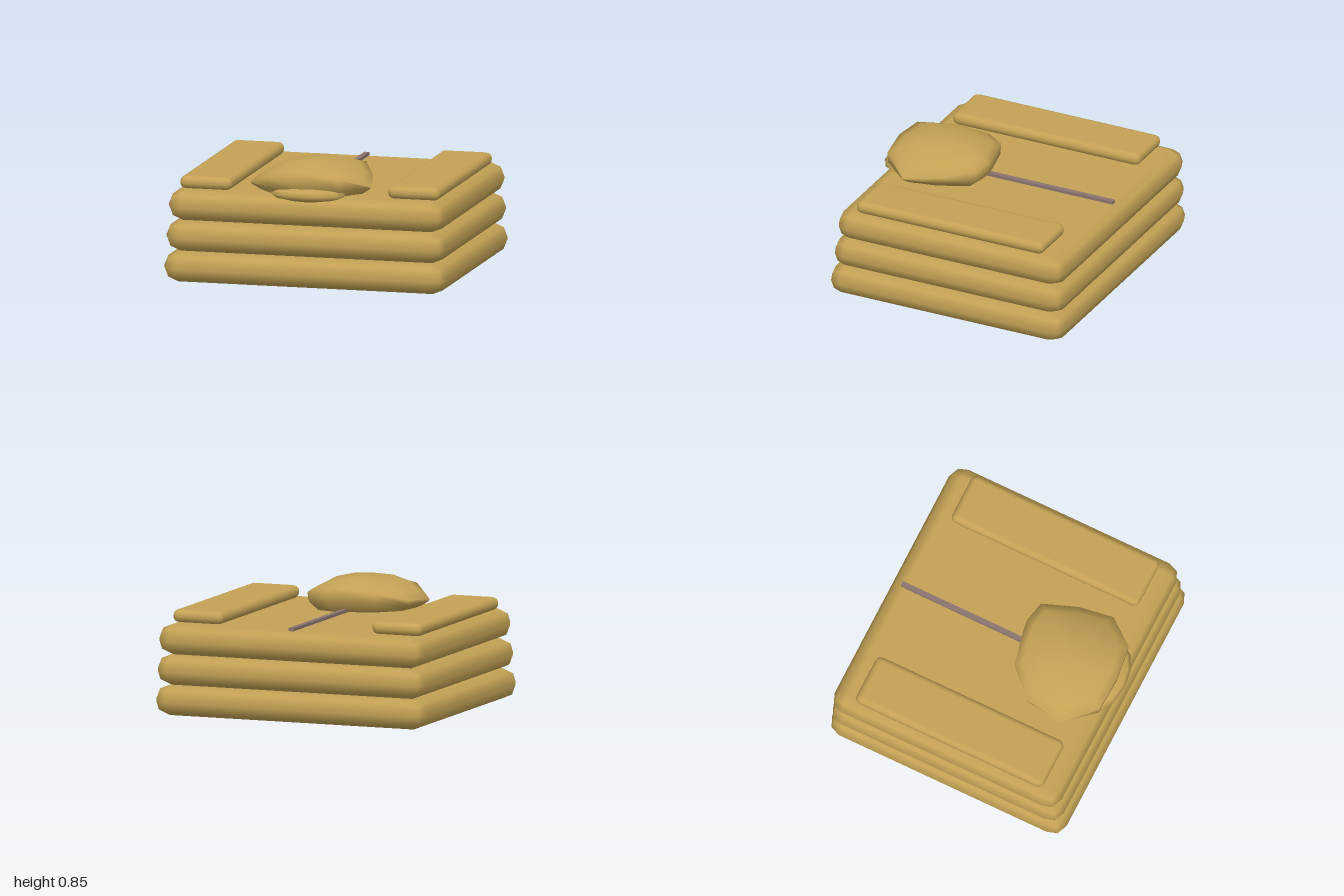
import * as THREE from 'three';
import { RoundedBoxGeometry } from 'three/addons/geometries/RoundedBoxGeometry.js';

const tan = new THREE.MeshStandardMaterial({ color: 0xc4a255 });
tan.name = 'tan fabric';
const mauve = new THREE.MeshStandardMaterial({ color: 0x8c7470 });
mauve.name = 'mauve grey trim';

// Stacked rings (counter-clockwise from above), closed by a top and a bottom point
function ringSolid(rings, top, bottom) {
  const n = rings[0].length;
  const points = [top, ...rings.flat(), bottom];
  const last = points.length - 1;
  const index = [];
  for (let j = 0; j < n; j++) {
    const k = (j + 1) % n;
    index.push(0, 1 + j, 1 + k);
    for (let r = 0; r < rings.length - 1; r++) {
      const a = 1 + r * n, b = a + n;
      index.push(a + j, b + j, b + k, a + j, b + k, a + k);
    }
    const e = 1 + (rings.length - 1) * n;
    index.push(last, e + k, e + j);
  }
  const g = new THREE.BufferGeometry();
  g.setAttribute('position', new THREE.Float32BufferAttribute(points.flat(), 3));
  g.setIndex(index);
  g.computeVertexNormals();
  return g;
}

export function createModel() {
  const model = new THREE.Group();
  const add = (name, geometry, material, x, y, z) => {
    const mesh = new THREE.Mesh(geometry, material);
    mesh.name = name;
    mesh.position.set(x, y, z);
    model.add(mesh);
    return mesh;
  };

  // Three stacked pads, each a little smaller and set further back
  for (let i = 0; i < 3; i++) {
    const front = 0.892 - 0.024 * i, back = -0.895 + 0.004 * i;
    add('pad' + (i + 1),
      new RoundedBoxGeometry(2 - 0.02 * i, 0.21, front - back, 1, 0.1),
      tan, 0, 0.105 + 0.21 * i, (front + back) / 2);
  }

  // Raised side strips
  for (const side of [-1, 1]) {
    add(side > 0 ? 'leftStrip' : 'rightStrip',
      new RoundedBoxGeometry(0.37, 0.09, 1.43, 2, 0.044), tan, side * 0.735, 0.671, -0.005);
  }

  // Seam running back from the lump
  add('seam', new THREE.BoxGeometry(0.036, 0.022, 1.11), mauve, 0, 0.641, -0.255);

  // Faceted lump: rim points as x, upper rim y, z
  const rim = [
    [-0.44, 0.685, 0.61], [-0.26, 0.76, 0.82], [0, 0.78, 0.83], [0.24, 0.76, 0.8],
    [0.41, 0.685, 0.6], [0.36, 0.72, 0.36], [0.25, 0.77, 0.125], [0.1, 0.78, 0.095],
    [0.02, 0.78, 0.105], [-0.22, 0.76, 0.16], [-0.4, 0.71, 0.34],
  ];
  const cx = -0.01, cz = 0.48;
  const ring = (scale, height) => rim.map(([x, y, z]) =>
    [cx + (x - cx) * scale, height(y), cz + (z - cz) * scale]);
  add('lump', ringSolid([
    ring(0.55, (y) => 0.815 + (y - 0.685) * 0.2),
    ring(0.85, (y) => y + (0.775 - y) * 0.5 + 0.012),
    ring(1, (y) => y),
    ring(0.985, (y) => 0.67 + (y - 0.685) * 0.2),
    ring(0.82, () => 0.625),
  ], [cx, 0.85, cz], [cx, 0.595, cz]), tan, 0, 0, 0);

  // Lip under the front of the lump
  const lip = add('lip', new THREE.SphereGeometry(1, 12, 6), tan, 0, 0.645, 0.74);
  lip.scale.set(0.27, 0.055, 0.15);

  return model;
}
